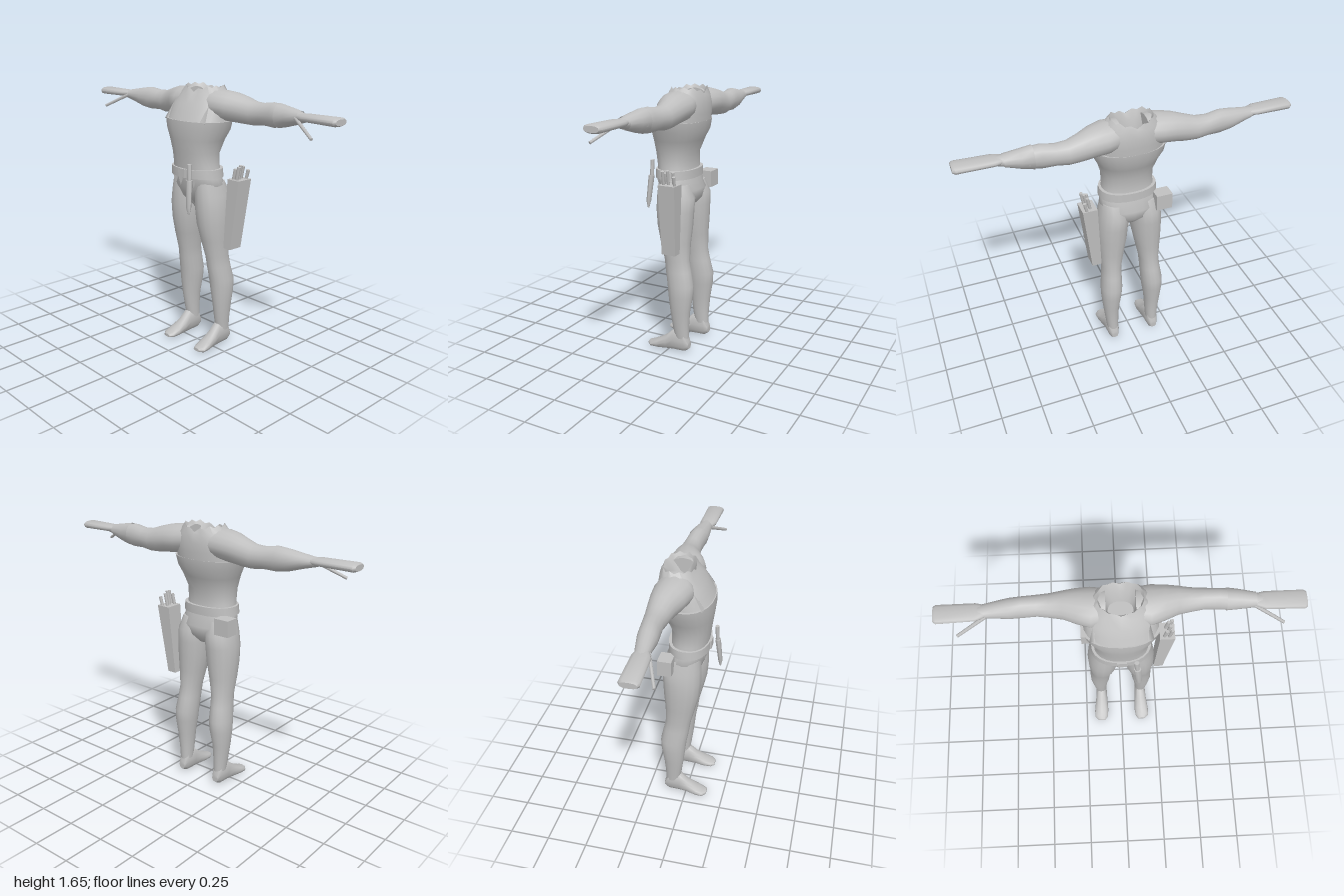
import * as THREE from 'three';
import { toCreasedNormals } from 'three/addons/utils/BufferGeometryUtils.js';

const grey = new THREE.MeshStandardMaterial({ color: 0xc0c0c0, side: THREE.DoubleSide });
grey.name = 'plain grey';

// Each axis maps a ring (a, b) at distance t to x, y, z in a right-handed order
const AXES = {
  x: (t, a, b) => [t, a, b],
  y: (t, a, b) => [b, t, a],
  z: (t, a, b) => [a, b, t],
};

// Skin through elliptical sections [t, centreA, centreB, radiusA, radiusB]
function loft(axis, sections, { n = 18, power = 1, capStart = true, capEnd = true, edit = null } = {}) {
  const pos = [], idx = [], rows = sections.length;
  const bend = (v) => Math.sign(v) * Math.abs(v) ** power;
  sections.forEach(([t, ca, cb, ra, rb], i) => {
    for (let j = 0; j < n; j++) {
      const q = (j / n) * Math.PI * 2;
      const p = AXES[axis](t, ca + ra * bend(Math.cos(q)), cb + rb * bend(Math.sin(q)));
      if (edit) edit(p, i, j);
      pos.push(...p);
    }
  });
  for (let i = 0; i < rows - 1; i++) {
    for (let j = 0; j < n; j++) {
      const k = (j + 1) % n, a = i * n + j, b = i * n + k;
      idx.push(a, b, a + n, b, b + n, a + n);
    }
  }
  const cap = (row, flip) => {
    const [t, ca, cb] = sections[row], c = pos.length / 3;
    pos.push(...AXES[axis](t, ca, cb));
    for (let j = 0; j < n; j++) {
      const a = row * n + j, b = row * n + ((j + 1) % n);
      idx.push(c, flip ? b : a, flip ? a : b);
    }
  };
  if (capStart) cap(0, true);
  if (capEnd) cap(rows - 1, false);
  const g = new THREE.BufferGeometry();
  g.setAttribute('position', new THREE.Float32BufferAttribute(pos, 3));
  g.setIndex(idx);
  return toCreasedNormals(g, 0.9);
}

// Straight rod between two points
function rod(from, to, r0, r1, sides = 6) {
  const a = new THREE.Vector3(...from), b = new THREE.Vector3(...to);
  const d = b.clone().sub(a);
  const g = new THREE.CylinderGeometry(r1, r0, d.length(), sides);
  g.applyQuaternion(new THREE.Quaternion().setFromUnitVectors(new THREE.Vector3(0, 1, 0), d.normalize()));
  g.translate(...a.add(b).multiplyScalar(0.5).toArray());
  return g;
}

export function createModel() {
  const model = new THREE.Group();
  model.name = 'headlessFigure';
  const add = (name, geometry, parent = model) => {
    const m = new THREE.Mesh(geometry, grey);
    m.name = name;
    parent.add(m);
    return m;
  };
  const box = (name, w, h, d, x, y, z) => add(name, new THREE.BoxGeometry(w, h, d).translate(x, y, z));

  // Torso from hips to the vest's upper edge
  add('torso', loft('y', [
    [0.93, -0.03, 0, 0.06, 0.05],
    [0.98, -0.03, 0, 0.105, 0.13],
    [1.04, -0.025, 0, 0.12, 0.18],
    [1.11, 0, 0, 0.112, 0.172],
    [1.18, 0.005, 0, 0.112, 0.155],
    [1.26, 0.01, 0, 0.118, 0.157],
    [1.34, 0, 0, 0.14, 0.182],
    [1.4, -0.01, 0, 0.157, 0.212],
    [1.455, -0.014, 0, 0.16, 0.225],
  ], { n: 24, power: 0.88 }));

  // Chest and shoulders, rising to a ragged open neck
  add('chest', loft('y', [
    [1.45, -0.015, 0, 0.158, 0.21],
    [1.5, -0.03, 0, 0.147, 0.205],
    [1.55, -0.045, 0, 0.133, 0.2],
    [1.6, -0.06, 0, 0.11, 0.17],
    [1.625, -0.065, 0, 0.095, 0.125],
    [1.58, -0.06, 0, 0.07, 0.09],
    [1.5, -0.055, 0, 0.055, 0.07],
  ], {
    n: 24, power: 0.9, capStart: false,
    edit: (p, i, j) => {
      if (i === 4) p[1] += 0.028 * Math.min(1, Math.abs(p[0]) / 0.1) - 0.012 + (j % 2) * 0.014;
    },
  }));

  // Pointed lapels on the upper chest
  for (const s of [-1, 1]) {
    const g = new THREE.ConeGeometry(0.032, 0.14, 4);
    g.scale(1, 1, 0.25);
    g.rotateX(-0.5);
    g.translate(s * 0.145, 1.51, 0.07);
    add('lapelPoint', g);
  }

  for (const s of [-1, 1]) {
    const side = s > 0 ? 'left' : 'right';

    // Arm with shoulder, biceps, elbow, forearm and wrist
    const along = (list) => {
      const m = list.map(([x, ...r]) => [x * s, ...r]);
      return s > 0 ? m : m.reverse();
    };
    add(side + 'Arm', loft('x', along([
      [0.08, 1.55, -0.06, 0.085, 0.1],
      [0.16, 1.545, -0.06, 0.088, 0.115],
      [0.24, 1.538, -0.075, 0.086, 0.098],
      [0.31, 1.526, -0.09, 0.08, 0.078],
      [0.38, 1.514, -0.096, 0.07, 0.066],
      [0.45, 1.517, -0.097, 0.063, 0.058],
      [0.53, 1.521, -0.09, 0.071, 0.056],
      [0.6, 1.522, -0.085, 0.061, 0.056],
      [0.68, 1.527, -0.078, 0.042, 0.046],
      [0.75, 1.53, -0.07, 0.027, 0.038],
      [0.79, 1.535, -0.066, 0.02, 0.04],
    ]), { n: 16 }));

    // Flat open hand with a thin thumb
    const hand = new THREE.Group();
    hand.name = side + 'Hand';
    model.add(hand);
    add('palm', loft('x', along([
      [0.72, 1.535, -0.07, 0.018, 0.035],
      [0.775, 1.536, -0.065, 0.021, 0.053],
      [0.985, 1.536, -0.061, 0.024, 0.056],
      [1.0, 1.536, -0.061, 0.017, 0.045],
    ]), { n: 12, power: 0.8 }), hand);
    add('thumb', rod([s * 0.72, 1.53, -0.04], [s * 0.887, 1.446, 0.03], 0.011, 0.009), hand);

    // Leg from hip to ankle
    add(side + 'Leg', loft('y', [
      [0.1, -0.09, s * 0.138, 0.045, 0.036],
      [0.18, -0.083, s * 0.14, 0.053, 0.042],
      [0.28, -0.08, s * 0.143, 0.064, 0.051],
      [0.38, -0.082, s * 0.14, 0.078, 0.064],
      [0.45, -0.08, s * 0.137, 0.084, 0.067],
      [0.54, -0.062, s * 0.13, 0.082, 0.062],
      [0.61, -0.05, s * 0.126, 0.08, 0.062],
      [0.72, -0.037, s * 0.12, 0.095, 0.078],
      [0.82, -0.03, s * 0.113, 0.111, 0.09],
      [0.92, -0.028, s * 0.109, 0.118, 0.095],
      [1.0, -0.03, s * 0.103, 0.12, 0.09],
      [1.08, -0.015, s * 0.095, 0.1, 0.078],
    ], { n: 16, power: 0.93 }));

    // Foot, heel to toe
    add(side + 'Foot', loft('z', [
      [-0.142, s * 0.138, 0.055, 0.022, 0.025],
      [-0.115, s * 0.138, 0.08, 0.036, 0.07],
      [-0.04, s * 0.138, 0.08, 0.038, 0.073],
      [0.01, s * 0.14, 0.055, 0.042, 0.049],
      [0.07, s * 0.143, 0.034, 0.048, 0.031],
      [0.115, s * 0.146, 0.024, 0.045, 0.019],
      [0.14, s * 0.142, 0.024, 0.026, 0.01],
    ], { n: 12, power: 0.85 }));
  }

  // Bracer on the left forearm
  add('bracer', loft('x', [
    [0.57, 1.523, -0.087, 0.07, 0.06],
    [0.64, 1.525, -0.082, 0.056, 0.054],
    [0.73, 1.53, -0.073, 0.035, 0.043],
  ], { n: 12, capStart: false, capEnd: false }));

  // Belt, buckle and pointed cloth tabs under it
  add('belt', loft('y', [
    [1.112, 0, 0, 0.125, 0.18],
    [1.165, 0, 0, 0.125, 0.175],
  ], { n: 24, power: 0.88 }));
  box('buckle', 0.056, 0.054, 0.012, 0, 1.138, 0.125);
  [-0.08, -0.03, 0.03, 0.08].forEach((x) => {
    const tab = new THREE.Shape([[-0.025, 0], [0, -0.06], [0.025, 0]].map((p) => new THREE.Vector2(...p)));
    add('clothTab', new THREE.ShapeGeometry(tab).translate(x, 1.115, 0.112 - Math.abs(x) * 0.1));
  });
  add('loincloth', rod([0, 1.0, 0.06], [0, 0.86, -0.03], 0.028, 0.004, 5));

  // Sheathed dagger at the front of the belt
  add('daggerBlade', loft('y', [
    [0.905, 0.165, 0.103, 0.004, 0.006],
    [0.95, 0.164, 0.1, 0.014, 0.018],
    [1.11, 0.148, 0.09, 0.018, 0.021],
  ], { n: 8 }));
  add('daggerHandle', loft('y', [
    [1.11, 0.147, 0.088, 0.012, 0.013],
    [1.205, 0.143, 0.084, 0.012, 0.015],
  ], { n: 8 }));

  // Pouch at the back right hip
  box('pouch', 0.1, 0.1, 0.085, -0.185, 1.07, -0.105);

  // Tapered, leaning quiver with arrows
  const quiver = new THREE.Group();
  quiver.name = 'quiver';
  model.add(quiver);
  const q = new THREE.BoxGeometry(1, 1, 1), qp = q.attributes.position;
  for (let i = 0; i < qp.count; i++) {
    const x = qp.getX(i), z = qp.getZ(i);
    if (qp.getY(i) > 0) qp.setXYZ(i, 0.277 + x * 0.09, 1.115, -0.083 + z * 0.108);
    else qp.setXYZ(i, 0.239 + x * 0.058, 0.68, -0.067 + z * 0.09);
  }
  add('quiverCase', toCreasedNormals(q, 0.5), quiver);
  [[0.262, -0.05, 1.18], [0.282, -0.075, 1.2], [0.272, -0.105, 1.19], [0.296, -0.123, 1.17], [0.292, -0.048, 1.195]]
    .forEach(([x, z, top]) => {
      add('arrow', rod([x - 0.01, 1.08, z], [x + 0.012, top, z - 0.003], 0.009, 0.011), quiver);
    });

  return model;
}
